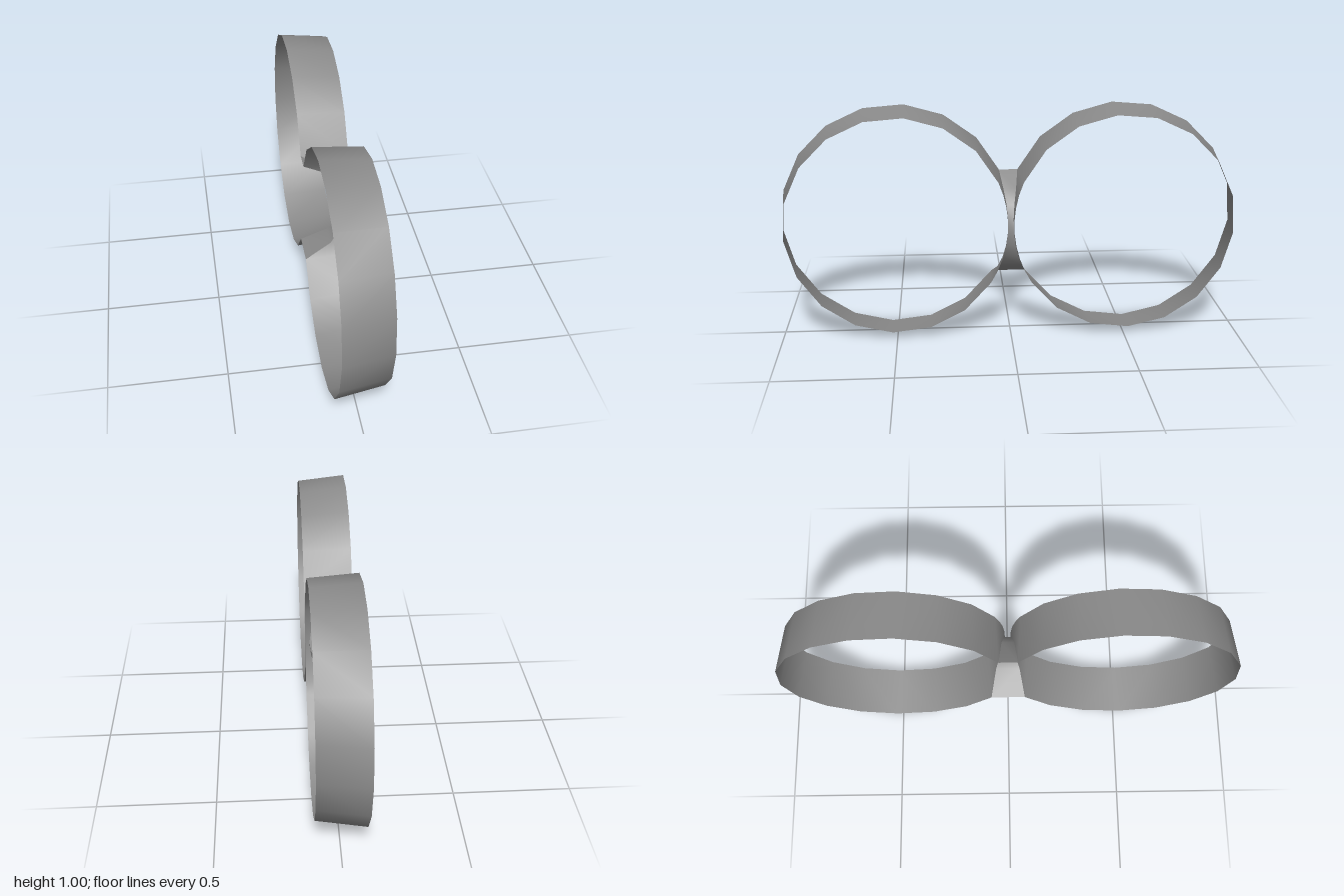
import * as THREE from 'three';

const BACK = { x: -0.105, y: 0.5, z: 0.5, r: 0.502 };       // wide rim
const FRONT = { x: 0.103, y: 0.505, z: 0.4925, r: 0.479 };  // narrow rim
const GROOVE = { x: -0.155, y: 0.467, r: 0.24 };            // round notch running along z

// Rim angles (0 points at the other ring); the first CUT + 1 lie on the notch
const A0 = -0.566, A1 = 0.416, CUT = 8, REST = 15;
const angles = [];
for (let i = 0; i <= CUT; i++) angles.push(A0 + (A1 - A0) * i / CUT);
for (let i = 1; i < REST; i++) angles.push(A1 + (Math.PI * 2 - A1 + A0) * i / REST);

// Point on the tapered ring: t = 0 at the wide rim, 1 at the narrow rim
function ringPoint(a, t, side) {
  const mix = k => BACK[k] + (FRONT[k] - BACK[k]) * t;
  return [mix('x'), mix('y') + mix('r') * Math.sin(a), side * (mix('z') - mix('r') * Math.cos(a))];
}

// How far the notch eats into the band at one angle
function cutDepth(i) {
  if (i === 0 || i >= CUT) return 0;
  let t = 0;
  for (let n = 0; n < 8; n++) {
    const dy = ringPoint(angles[i], t, 1)[1] - GROOVE.y;
    const x = GROOVE.x + Math.sqrt(Math.max(0, GROOVE.r ** 2 - dy * dy));
    t = THREE.MathUtils.clamp((x - BACK.x) / (FRONT.x - BACK.x), 0, 1);
  }
  return t;
}

// Ruled strip between two rows of points
function strip(rowA, rowB, closed, flip) {
  const n = rowA.length, index = [];
  for (let i = 0; i < (closed ? n : n - 1); i++) {
    const j = (i + 1) % n;
    if (flip) index.push(i, n + i, j, j, n + i, n + j);
    else index.push(i, j, n + i, j, n + j, n + i);
  }
  const geo = new THREE.BufferGeometry();
  geo.setAttribute('position', new THREE.Float32BufferAttribute([...rowA, ...rowB].flat(), 3));
  geo.setIndex(index);
  geo.computeVertexNormals();
  return geo;
}

export function createModel() {
  const group = new THREE.Group();
  const grey = new THREE.MeshStandardMaterial({ color: 0x8c8c8c, side: THREE.DoubleSide });
  grey.name = 'grey';
  const add = (name, geo) => {
    const mesh = new THREE.Mesh(geo, grey);
    mesh.name = name;
    group.add(mesh);
  };
  const cutRow = side => angles.map((a, i) => ringPoint(a, cutDepth(i), side));

  // Two mirrored tapered bands
  for (const side of [1, -1]) {
    const narrow = angles.map(a => ringPoint(a, 1, side));
    add(side > 0 ? 'frontRing' : 'backRing', strip(cutRow(side), narrow, true, side < 0));
  }

  // Curved saddle joining the notch edges of both bands
  const edge = side => cutRow(side).slice(0, CUT + 1);
  add('bridge', strip(edge(1), edge(-1), false, false));
  return group;
}
